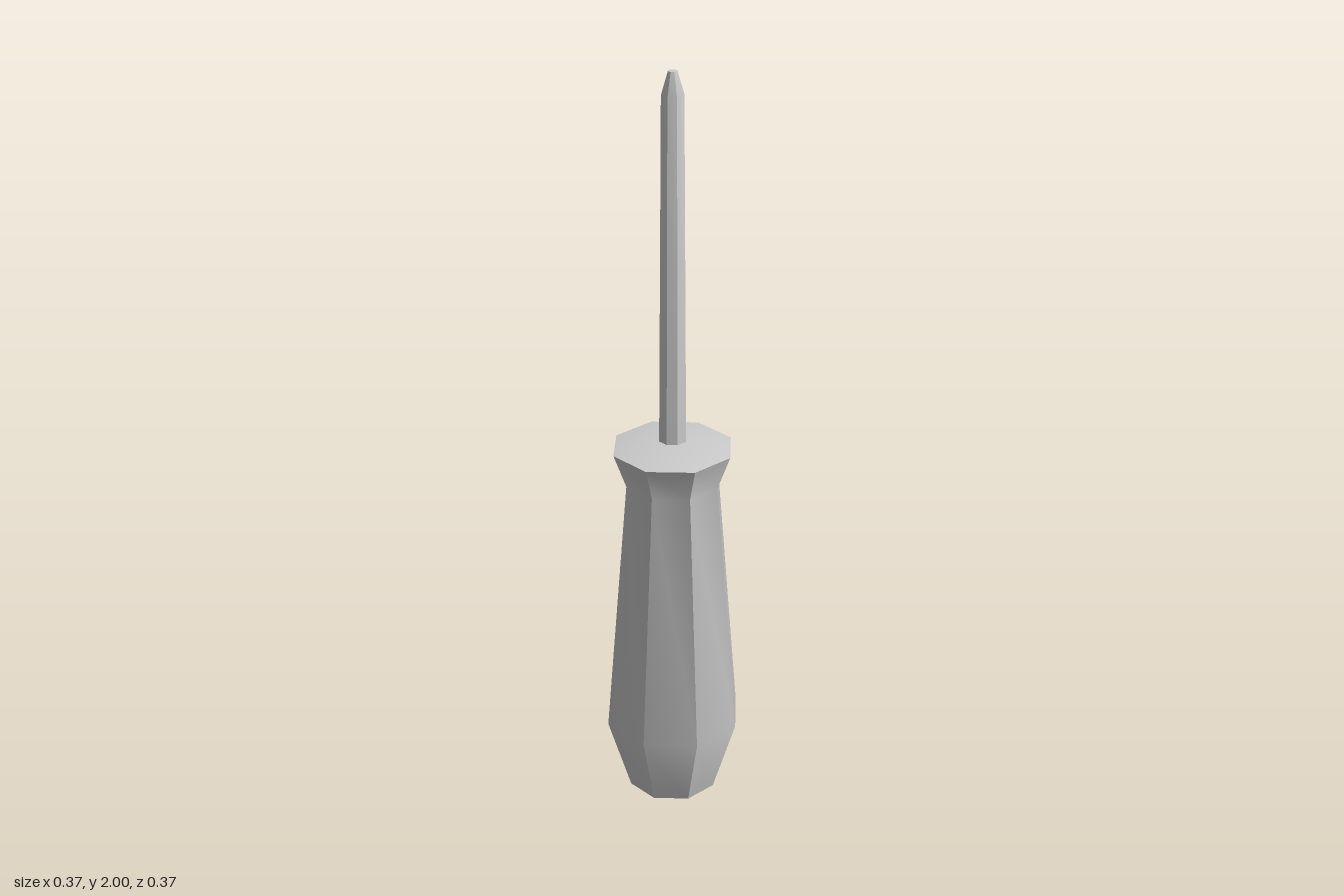
import * as THREE from 'three';
import { toCreasedNormals } from 'three/addons/utils/BufferGeometryUtils.js';

const SIDES = 8;
const CREASE = THREE.MathUtils.degToRad(35);

// Eight-sided turned part from a bottom-to-top profile of [radius, height]
function turned(name, profile, material) {
  const points = profile.map(([r, y]) => new THREE.Vector2(r, y));
  const geometry = toCreasedNormals(new THREE.LatheGeometry(points, SIDES), CREASE);
  const mesh = new THREE.Mesh(geometry, material);
  mesh.name = name;
  return mesh;
}

export function createModel() {
  const group = new THREE.Group();
  group.name = 'screwdriver';
  const grey = new THREE.MeshStandardMaterial({ color: 0xcccccc });

  // Handle: narrow butt, wide grip, pinched neck and flared collar
  group.add(turned('handle', [
    [0, 0], [0.122, 0], [0.186, 0.21], [0.127, 0.92], [0.161, 1.013], [0, 1.04],
  ], grey));

  // Shaft: slight taper, ending in a small blunt tip
  group.add(turned('shaft', [
    [0, 1.02], [0.037, 1.02], [0.03, 1.94], [0.012, 2], [0, 2],
  ], grey));

  return group;
}
